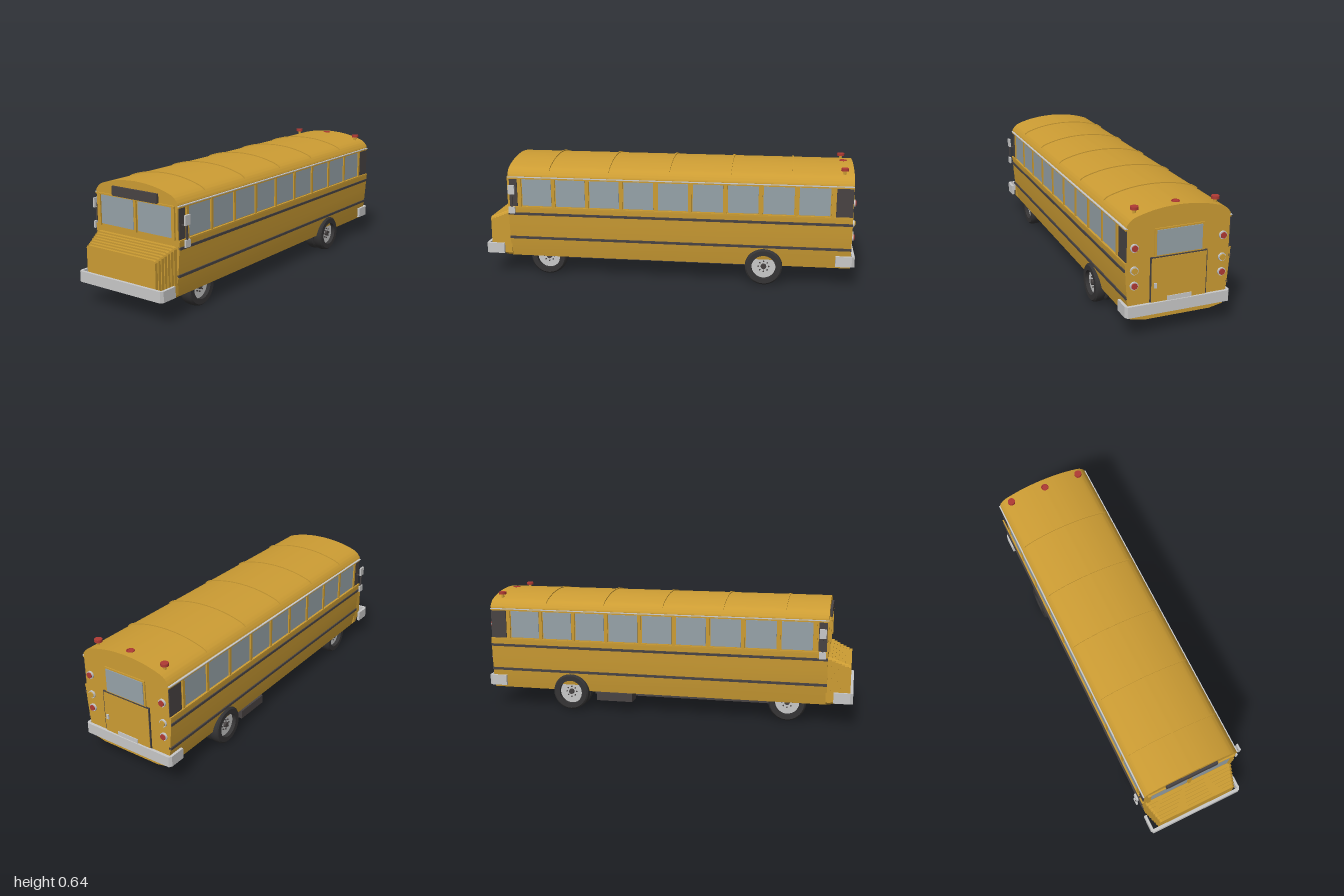
import * as THREE from 'three';
import { toCreasedNormals } from 'three/addons/utils/BufferGeometryUtils.js';

export function createModel() {
  const bus = new THREE.Group();
  bus.name = 'bus';
  const mat = (name, color) => {
    const m = new THREE.MeshStandardMaterial({ color });
    m.name = name;
    return m;
  };
  const yellow = mat('body yellow', 0xcc9c33);
  const glass = mat('window glass', 0x96a2a8);
  const dark = mat('dark trim', 0x484343);
  const rubber = mat('tyre rubber', 0x353435);
  const metal = mat('pale metal', 0xc8c8c8);
  const red = mat('red lamp', 0xb03a34);

  const add = (name, geo, m, parent = bus) => {
    const mesh = new THREE.Mesh(geo, m);
    mesh.name = name;
    parent.add(mesh);
    return mesh;
  };
  // Box given by its limits on each axis
  const box = (name, m, x0, x1, y0, y1, z0, z1, parent = bus) => {
    const b = add(name, new THREE.BoxGeometry(Math.abs(x1 - x0), y1 - y0, z1 - z0), m, parent);
    b.position.set((x0 + x1) / 2, (y0 + y1) / 2, (z0 + z1) / 2);
    return b;
  };
  // Closed outline extruded along z from z0 to z1
  const prism = (pts, z0, z1) => {
    const g = new THREE.ExtrudeGeometry(new THREE.Shape(pts), { depth: z1 - z0, bevelEnabled: false });
    g.translate(0, 0, z0);
    return toCreasedNormals(g, 0.4);
  };
  const mirrored = half => [...half, ...half.slice().reverse().filter(p => p.x > 1e-4).map(p => new THREE.Vector2(-p.x, p.y))];
  const V = (x, y) => new THREE.Vector2(x, y);

  const FRONT = 0.865, REAR = -0.98;

  // Body shell: tapered lower sides, upright window band, arched roof
  const roof = new THREE.SplineCurve([V(0.264, 0.56), V(0.254, 0.578), V(0.225, 0.602), V(0.15, 0.624), V(0.075, 0.636), V(0, 0.64)]).getPoints(24);
  const lower = [V(0.17, 0.092), V(0.24, 0.106), V(0.257, 0.2), V(0.265, 0.3), V(0.27, 0.385), V(0.26, 0.39), V(0.26, 0.56)];
  add('bodyShell', prism(mirrored([...lower, ...roof]), REAR, FRONT), yellow);

  // Roof ribs: thin bands following the arch
  const arch = roof.filter(p => p.y > 0.58);
  const band = mirrored(arch.map(p => V(p.x * 1.01, p.y + 0.005)));
  for (let i = 0; i < 5; i++) {
    const z = 0.64 - i * 0.326;
    add('roofRib', prism(band, z - 0.005, z + 0.005), yellow);
  }

  // Stepped nose, narrowing and lowering towards the front
  const STEPS = 7;
  for (let i = 0; i < STEPS; i++) {
    const t = i / (STEPS - 1);
    const w = 0.252 - 0.03 * t, top = 0.36 - 0.045 * t, low = 0.108 + 0.008 * t;
    const half = [V(w - 0.012, low), V(w, low + 0.012), V(w, top - 0.012), V(w - 0.004, top - 0.004), V(w - 0.012, top)];
    add('noseStep', prism(mirrored(half), 0.86, 0.885 + 0.1 * t), yellow);
  }

  // Windscreen, posts and destination panel
  for (const s of [-1, 1]) {
    box('windscreenPane', glass, s * 0.015, s * 0.227, 0.398, 0.546, FRONT, FRONT + 0.004);
    box('windscreenPost', yellow, s * 0.229, s * 0.247, 0.39, 0.553, FRONT, FRONT + 0.01);
  }
  box('windscreenMiddlePost', yellow, -0.007, 0.007, 0.39, 0.553, FRONT, FRONT + 0.01);
  box('windscreenTopRail', yellow, -0.247, 0.247, 0.547, 0.555, FRONT, FRONT + 0.008);
  box('signPanel', dark, -0.145, 0.145, 0.552, 0.6, FRONT - 0.01, 0.877);

  // Side details, the same on both sides
  for (const s of [-1, 1]) {
    const side = new THREE.Group();
    side.name = s > 0 ? 'leftSide' : 'rightSide';
    bus.add(side);
    for (let i = 0; i < 9; i++) {
      const z = 0.786 - i * 0.186;
      box('sideWindow', glass, s * 0.255, s * 0.264, 0.396, 0.543, z - 0.16, z, side);
    }
    for (let i = 0; i < 10; i++) {
      const z = 0.799 - i * 0.186;
      box('windowPillar', yellow, s * 0.255, s * 0.268, 0.386, 0.55, z - 0.008, z + 0.008, side);
    }
    box('frontCornerPanel', dark, s * 0.255, s * 0.264, 0.39, 0.548, 0.815, 0.858, side);
    box('rearCornerPanel', dark, s * 0.255, s * 0.265, 0.386, 0.548, REAR + 0.002, -0.892, side);
    box('windowSill', yellow, s * 0.255, s * 0.272, 0.382, 0.392, REAR, FRONT, side);
    box('windowHead', yellow, s * 0.255, s * 0.267, 0.544, 0.552, REAR, FRONT, side);
    box('dripRail', metal, s * 0.255, s * 0.271, 0.552, 0.556, REAR, FRONT, side);
    box('upperStripe', dark, s * 0.262, s * 0.274, 0.345, 0.358, REAR, FRONT, side);
    box('lowerStripe', dark, s * 0.25, s * 0.265, 0.208, 0.221, REAR, FRONT, side);

    // Mirror bracket with an upper and a lower mirror
    box('mirrorArm', dark, s * 0.255, s * 0.296, 0.459, 0.466, 0.834, 0.841, side);
    box('mirrorPost', dark, s * 0.29, s * 0.297, 0.375, 0.49, 0.834, 0.841, side);
    box('upperMirror', metal, s * 0.29, s * 0.3, 0.466, 0.515, 0.82, 0.855, side);
    box('lowerMirror', metal, s * 0.29, s * 0.3, 0.36, 0.396, 0.82, 0.855, side);
  }

  // Wrap-around bumpers: a U outline with cut corners, extruded upwards
  const uHalf = [V(0.256, 0.9), V(0.27, 0.9), V(0.27, 0.985), V(0.26, 1), V(0, 1)];
  const uOutline = [...mirrored(uHalf), V(-0.256, 0.985), V(0.256, 0.985)];
  for (const s of [1, -1]) {
    const g = new THREE.ExtrudeGeometry(new THREE.Shape(uOutline), { depth: 0.056, bevelEnabled: false });
    g.rotateX(Math.PI / 2);
    if (s < 0) g.rotateY(Math.PI);
    g.translate(0, 0.178, 0);
    add(s > 0 ? 'frontBumper' : 'rearBumper', g, metal);
  }

  // Rear door, window, plate and handle
  box('rearDoorFrame', dark, -0.145, 0.145, 0.13, 0.402, -0.988, REAR);
  box('rearDoor', yellow, -0.14, 0.14, 0.13, 0.397, -0.99, -0.984);
  box('rearWindowFrame', yellow, -0.125, 0.125, 0.403, 0.54, -0.986, REAR);
  box('rearWindow', glass, -0.115, 0.115, 0.41, 0.532, -0.99, -0.984);
  box('numberPlate', metal, -0.065, 0.06, 0.14, 0.2, -0.994, -0.988);
  box('doorHandle', metal, 0.115, 0.128, 0.25, 0.275, -0.997, -0.988);

  // Rear lamps: pale bezels with coloured lenses
  const disc = (name, m, r, x, y, z, depth) => {
    const d = add(name, new THREE.CylinderGeometry(r, r, depth, 20), m);
    d.rotation.x = Math.PI / 2;
    d.position.set(x, y, z);
  };
  for (const x of [-0.225, 0.225]) {
    [[0.46, red], [0.35, yellow], [0.275, red]].forEach(([y, m]) => {
      disc('lampBezel', metal, 0.02, x, y, -0.983, 0.012);
      disc('lampLens', m, 0.015, x, y, -0.988, 0.012);
    });
  }

  // Roof beacons: a raised one at each corner, a nearly flush one in the middle
  for (const x of [-0.205, 0, 0.205]) {
    const b = add('roofBeacon', new THREE.CylinderGeometry(0.02, 0.02, 0.014, 20), red);
    b.position.set(x, 0.633, -0.93);
    if (x) {
      const stem = add('beaconStem', new THREE.CylinderGeometry(0.008, 0.008, 0.03, 10), yellow);
      stem.position.set(x, 0.614, -0.93);
    } else {
      const ring = add('beaconRing', new THREE.TorusGeometry(0.018, 0.003, 6, 20), red);
      ring.rotation.x = Math.PI / 2;
      ring.position.set(0, 0.64, -0.93);
    }
  }

  // Wheels, built along y and turned outwards
  const tyreGeo = h => toCreasedNormals(new THREE.LatheGeometry(
    [V(0.064, -h), V(0.09, -h), V(0.098, -h * 0.75), V(0.1, -h * 0.4), V(0.1, h * 0.4),
      V(0.098, h * 0.75), V(0.09, h), V(0.064, h), V(0.064, -h)], 36), 0.6);
  const wheel = (name, s, x, z, h) => {
    const w = new THREE.Group();
    w.name = name;
    w.position.set(s * x, 0.102, z);
    w.rotation.z = -s * Math.PI / 2;
    bus.add(w);
    add('tyre', tyreGeo(h), rubber, w);
    add('rim', new THREE.CylinderGeometry(0.065, 0.065, 0.02, 28), metal, w).position.y = h - 0.032;
    add('hub', new THREE.CylinderGeometry(0.014, 0.016, 0.02, 16), dark, w).position.y = h - 0.02;
    for (let i = 0; i < 8; i++) {
      const a = i * Math.PI / 4;
      add('wheelBolt', new THREE.CylinderGeometry(0.004, 0.004, 0.008, 6), dark, w)
        .position.set(0.028 * Math.cos(a), h - 0.02, 0.028 * Math.sin(a));
    }
  };
  for (const s of [-1, 1]) {
    wheel('frontWheel', s, 0.203, 0.66, 0.035);
    wheel('rearOuterWheel', s, 0.241, -0.525, 0.027);
    wheel('rearInnerWheel', s, 0.183, -0.525, 0.027);
  }

  // Underside: axles, long chassis box and a side tank
  for (const z of [0.66, -0.525]) {
    const axle = add('axle', new THREE.CylinderGeometry(0.012, 0.012, 0.36, 12), dark);
    axle.rotation.z = Math.PI / 2;
    axle.position.set(0, 0.1, z);
  }
  box('chassisBox', dark, -0.091, 0.091, 0.053, 0.1, -0.44, 0.58);
  box('sideTank', dark, -0.25, -0.17, 0.06, 0.105, -0.38, -0.18);

  return bus;
}
